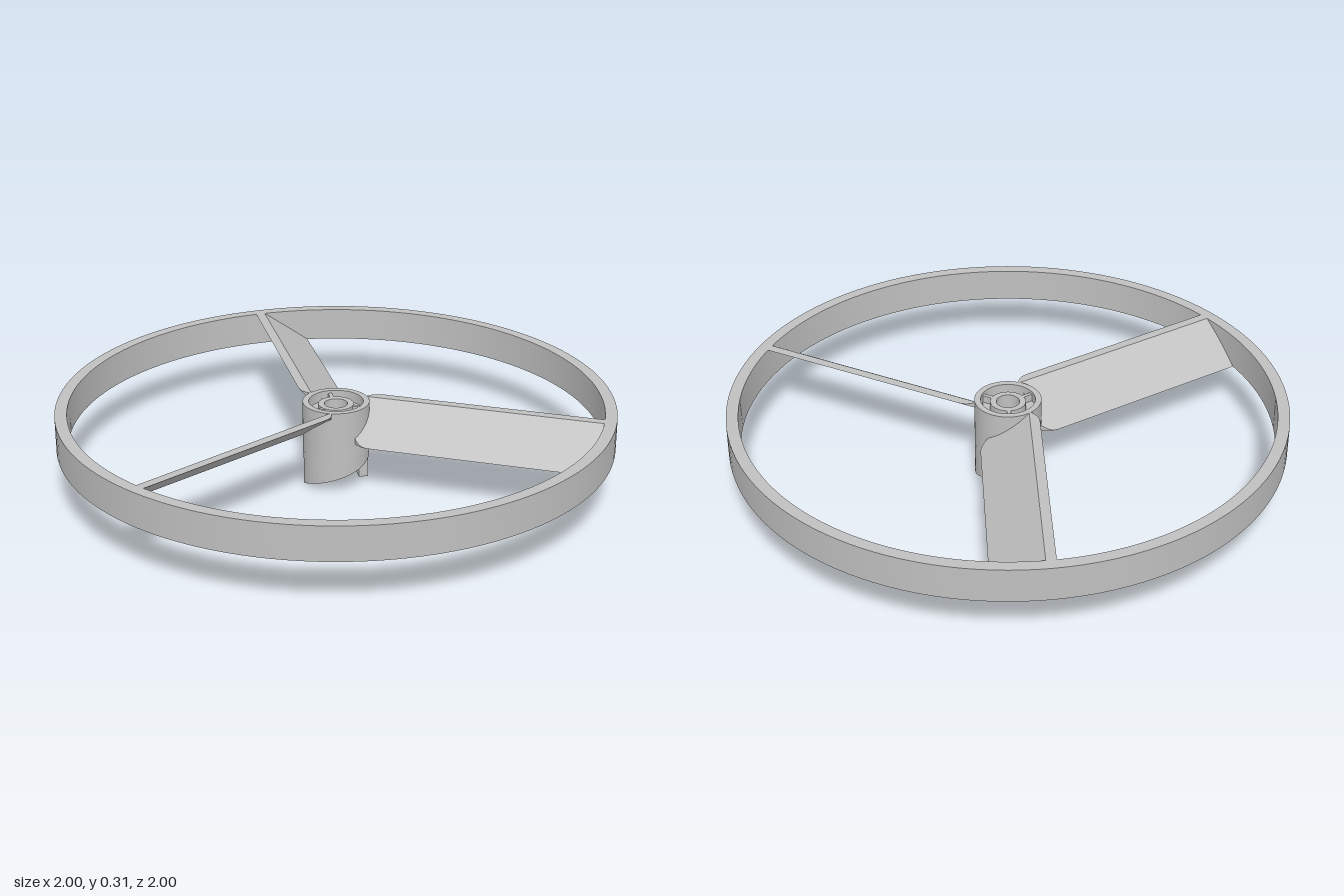
import * as THREE from 'three';
import { toCreasedNormals } from 'three/addons/utils/BufferGeometryUtils.js';

const TOP = 0.31, LOW = 0.185;

// Solid of revolution with a rectangular section
function ringGeometry(inner, outer, y0, y1, segments) {
  const p = [[inner, y0], [outer, y0], [outer, y1], [inner, y1], [inner, y0]]
    .map(([r, y]) => new THREE.Vector2(r, y));
  return toCreasedNormals(new THREE.LatheGeometry(p, segments), 0.5);
}

// Closed solid skinned over a row of equal-sized cross-sections
function skin(sections) {
  const n = sections[0].length, last = (sections.length - 1) * n, index = [];
  for (let s = 0; s < sections.length - 1; s++) {
    for (let j = 0; j < n; j++) {
      const a = s * n + j, b = s * n + (j + 1) % n;
      index.push(a, b, b + n, a, b + n, a + n);
    }
  }
  for (let j = 1; j < n - 1; j++) {
    index.push(0, j + 1, j, last, last + j, last + j + 1);
  }
  const g = new THREE.BufferGeometry();
  g.setAttribute('position', new THREE.Float32BufferAttribute(sections.flat(2), 3));
  g.setIndex(index);
  return toCreasedNormals(g, 0.5);
}

// Slanted blade, cut flat above and below, with rounded root corners
function bladeGeometry() {
  const half = 0.105, flat = 0.07, round = 0.07, start = 0.15;
  const slope = (TOP - LOW) / (half + flat);
  const sections = [];
  const section = (z, w) => sections.push([
    [-w, TOP - slope * (half - w), -z],
    [-w, TOP, -z],
    [-flat, TOP, -z],
    [w, TOP - slope * (w + flat), -z],
    [w, LOW, -z],
    [flat, LOW, -z],
  ]);
  for (let i = 0; i <= 8; i++) {
    const d = 0.06 * (1 - i / 8);
    section(start - d, half - round + Math.sqrt(round * round - d * d));
  }
  section(0.96, half);
  return skin(sections);
}

// Half-turn helical tooth under the hub
function toothGeometry() {
  const sections = [], steps = 40, inner = 0.086, outer = 0.12, top = 0.13;
  for (let i = 0; i <= steps; i++) {
    const a = Math.PI * i / steps, h = 0.12 * (1 - i / steps);
    sections.push([[inner, h], [outer, h], [outer, top], [inner, top]]
      .map(([r, y]) => [r * Math.cos(a), y, r * Math.sin(a)]));
  }
  return skin(sections);
}

export function createModel() {
  const model = new THREE.Group();
  model.name = 'ringPropeller';
  const grey = new THREE.MeshStandardMaterial({ color: 0xc0c0c0 });
  grey.name = 'grey plastic';

  const add = (name, geometry, angle = 0) => {
    const mesh = new THREE.Mesh(geometry, grey);
    mesh.name = name;
    mesh.rotation.y = angle;
    model.add(mesh);
    return mesh;
  };

  // Outer hoop
  add('outerRing', ringGeometry(0.957, 1, LOW, TOP, 128));

  // Hub wall, recessed floor and central sleeve
  add('hubWall', ringGeometry(0.098, 0.12, 0.13, TOP, 64));
  add('hubFloor', ringGeometry(0.042, 0.1, 0.13, 0.272, 64));
  add('hubSleeve', ringGeometry(0.042, 0.064, 0.13, 0.3, 48));

  // Blades and the small hub ribs, three of each
  const blade = bladeGeometry();
  const rib = new THREE.BoxGeometry(0.014, 0.035, 0.042).translate(0, 0.282, -0.081);
  for (let i = 0; i < 3; i++) {
    const angle = i * Math.PI * 2 / 3;
    add('blade' + (i + 1), blade, angle);
    add('hubRib' + (i + 1), rib, angle);
  }

  // Two opposed drive teeth
  const tooth = toothGeometry();
  add('driveTooth1', tooth);
  add('driveTooth2', tooth, Math.PI);

  return model;
}
